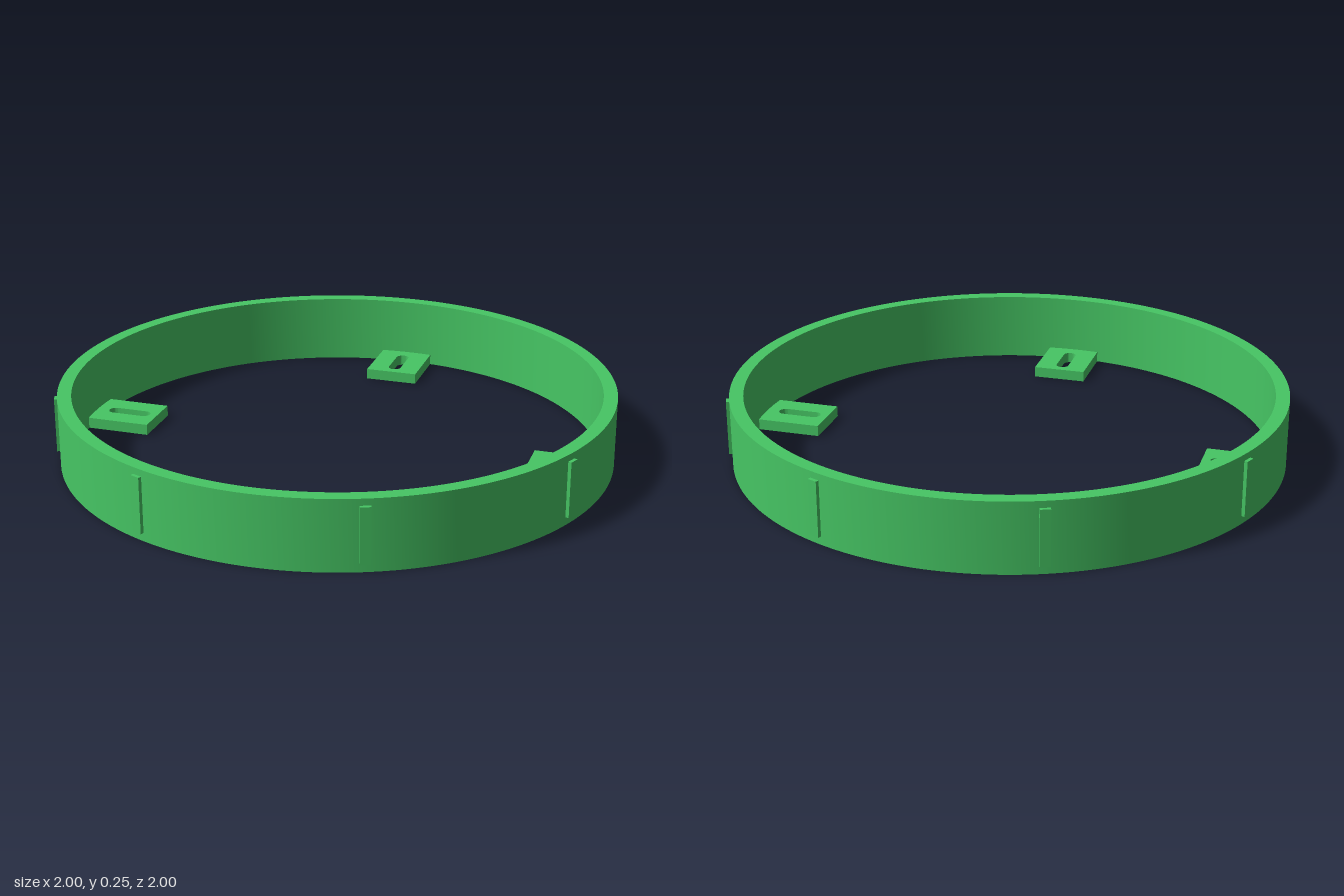
import * as THREE from 'three';
import { toCreasedNormals } from 'three/addons/utils/BufferGeometryUtils.js';

const HEIGHT = 0.254;

// Extrudes a plan-view shape upward from y = 0
function slab(shape, height, curveSegments) {
  const g = new THREE.ExtrudeGeometry(shape, { depth: height, bevelEnabled: false, curveSegments });
  g.rotateX(-Math.PI / 2);
  return toCreasedNormals(g, 0.6);
}

export function createModel() {
  const model = new THREE.Group();
  model.name = 'mountingRing';
  const green = new THREE.MeshStandardMaterial({ color: 0x46c664 });
  green.name = 'green';

  const add = (name, geometry, angle = 0) => {
    const mesh = new THREE.Mesh(geometry, green);
    mesh.name = name;
    mesh.rotation.y = angle;
    model.add(mesh);
  };

  // Ring wall
  const ring = new THREE.Shape().absarc(0, 0, 1, 0, Math.PI * 2, false);
  ring.holes.push(new THREE.Path().absarc(0, 0, 0.95, 0, Math.PI * 2, true));
  add('ringWall', slab(ring, HEIGHT, 128));

  // Four slotted tabs pointing inward, flush with the bottom
  const tab = new THREE.Shape();
  tab.moveTo(0.71, -0.1).lineTo(0.965, -0.1).lineTo(0.965, 0.1).lineTo(0.71, 0.1).closePath();
  const slot = new THREE.Path();
  slot.absarc(0.88, 0, 0.024, -Math.PI / 2, Math.PI / 2, false);
  slot.absarc(0.764, 0, 0.024, Math.PI / 2, Math.PI * 1.5, false);
  slot.closePath();
  tab.holes.push(slot);
  const tabGeometry = slab(tab, 0.04, 12);
  for (let i = 0; i < 4; i++) add('slottedTab', tabGeometry, i * Math.PI / 2);

  // Eight slim upright ribs on the outside
  const ribGeometry = new THREE.BoxGeometry(0.035, 0.2, 0.036);
  ribGeometry.translate(0.995, 0.13, 0);
  for (let i = 0; i < 8; i++) add('outerRib', ribGeometry, (i + 0.5) * Math.PI / 4);

  return model;
}
